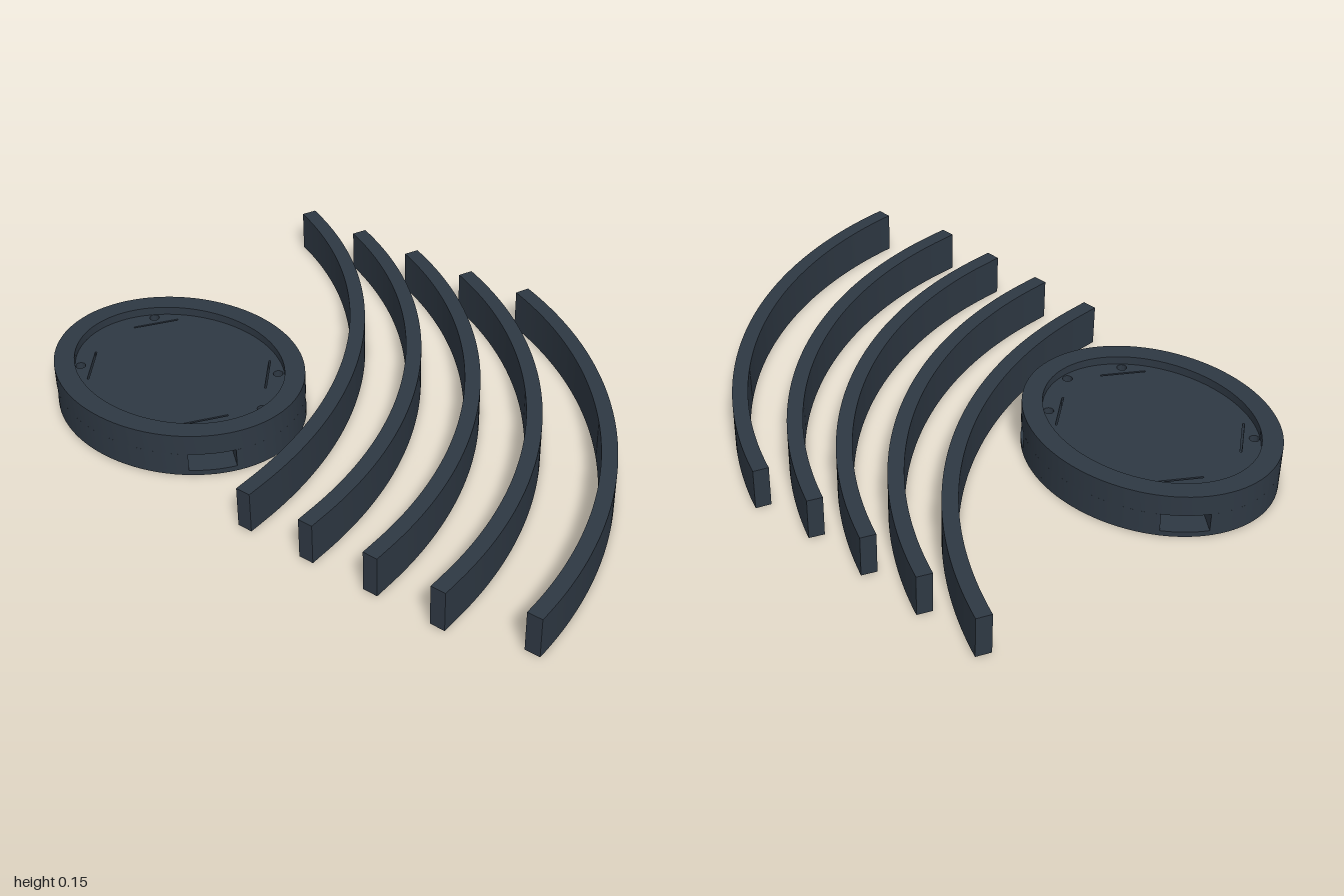
import * as THREE from 'three';
import { toCreasedNormals } from 'three/addons/utils/BufferGeometryUtils.js';

const RX = 0.433, RZ = 0.36;          // outer ellipse of the dish
const IN_RX = 0.368, IN_RZ = 0.294;   // recess ellipse
const RADIUS = 1.42, HALF = 0.025;    // arc radius and half thickness of the bands

export function createModel() {
  const slate = new THREE.MeshStandardMaterial({ color: 0x2e3843 });
  slate.name = 'darkSlate';
  const model = new THREE.Group();
  model.name = 'dishAndBands';

  // Extrude a plan outline upward from y0 to y1
  const slab = (name, shape, y0, y1, parent) => {
    let geo = new THREE.ExtrudeGeometry(shape, { depth: y1 - y0, bevelEnabled: false, curveSegments: 48 });
    geo.rotateX(-Math.PI / 2);
    geo = toCreasedNormals(geo, 0.4);
    const mesh = new THREE.Mesh(geo, slate);
    mesh.name = name;
    mesh.position.y = y0;
    parent.add(mesh);
    return mesh;
  };
  const ellipse = (rx, rz, Type = THREE.Shape) => {
    const s = new Type();
    s.absellipse(0, 0, rx, rz, 0, Math.PI * 2, false, 0);
    return s;
  };

  const dish = new THREE.Group();
  dish.name = 'dish';
  dish.position.set(-0.567, 0, 0.345);
  model.add(dish);

  // Base plate
  slab('dishBase', ellipse(RX, RZ), 0, 0.018, dish);

  // Middle layer with four side slots reaching inward
  const slotted = [];
  const a0 = THREE.MathUtils.degToRad(27.8), a1 = THREE.MathUtils.degToRad(49.7);
  const inner = [[0.283, 0.088], [0.198, 0.211]];
  const onRim = (a) => new THREE.Vector2(RX * Math.cos(a), RZ * Math.sin(a));
  const arc = (from, to) => {
    for (let i = 0; i <= 20; i++) slotted.push(onRim(from + (to - from) * i / 20));
  };
  for (let q = 0; q < 4; q++) {
    const sx = q === 0 || q === 3 ? 1 : -1, sy = q < 2 ? 1 : -1;
    const odd = q % 2 === 1;
    const base = q * Math.PI / 2;
    const start = odd ? Math.PI / 2 - a1 : a0, end = odd ? Math.PI / 2 - a0 : a1;
    arc(base + (q ? 0 : 0.001), base + start);
    for (const [x, y] of odd ? [...inner].reverse() : inner) slotted.push(new THREE.Vector2(sx * x, sy * y));
    arc(base + end, base + Math.PI / 2 - 0.001);
  }
  slab('slottedWall', new THREE.Shape(slotted), 0.018, 0.08, dish);

  // Recess floor with slits above the slots and small round holes
  const floor = ellipse(IN_RX + 0.005, IN_RZ + 0.005);
  for (const sx of [-1, 1]) for (const sy of [-1, 1]) {
    const [[ax, ay], [bx, by]] = inner;
    const w = 0.006;
    floor.holes.push(new THREE.Path([[ax, ay], [bx, by], [bx + w * 0.83, by + w * 0.56], [ax + w * 0.83, ay + w * 0.56]]
      .map(([x, y]) => new THREE.Vector2(sx * x, sy * y))));
  }
  for (const [x, y] of [[-0.272, 0.174], [0.268, 0.174], [0.348, 0], [-0.272, -0.174], [0.268, -0.174]]) {
    const hole = new THREE.Path();
    hole.absarc(x, y, 0.016, 0, Math.PI * 2);
    floor.holes.push(hole);
  }
  slab('recessFloor', floor, 0.08, 0.122, dish);

  // Raised rim
  const rim = ellipse(RX, RZ);
  rim.holes.push(ellipse(IN_RX, IN_RZ, THREE.Path));
  slab('dishRim', rim, 0.08, 0.15, dish);

  // Curved bands: an arc with an optional straight front end
  const band = (x, z, sweep, straight) => {
    const s = new THREE.Shape();
    s.moveTo(HALF, -straight);
    if (straight) s.lineTo(HALF, 0);
    s.absarc(-RADIUS, 0, RADIUS + HALF, 0, sweep, false);
    s.absarc(-RADIUS, 0, RADIUS - HALF, sweep, 0, true);
    if (straight) s.lineTo(-HALF, -straight);
    const mesh = slab('curvedBand', s, 0, 0.14, model);
    mesh.position.x = x;
    mesh.position.z = z;
  };
  for (let i = 0; i < 4; i++) band(0.012 + i * 0.2325, 0.64, THREE.MathUtils.degToRad(66.5), 0.067);
  band(0.975, 0.635, THREE.MathUtils.degToRad(68.5), 0);

  return model;
}
